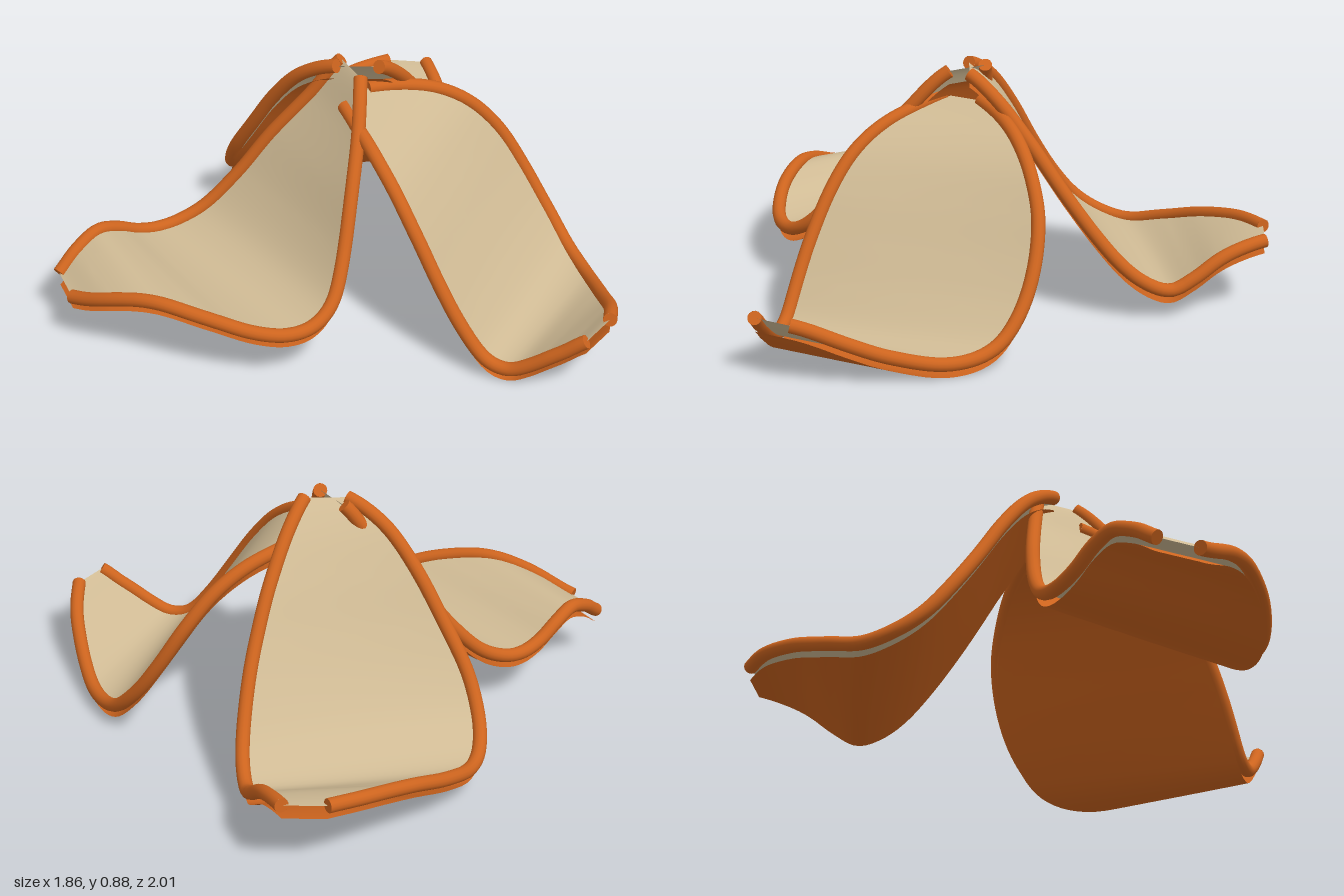
import * as THREE from 'three';
import { ParametricGeometry } from 'three/addons/geometries/ParametricGeometry.js';

const GAP = 0.05;                 // distance between upper and lower sheet
const RADIUS = 0.025;             // rim tube radius
const CENTRE = [-0.187, 0.057];

const curve2 = (pts) => new THREE.SplineCurve(pts.map(([x, y]) => new THREE.Vector2(x, y)));

// Plan outline of a petal (x, z): its two long edges
const edgeA = curve2([[0.01, 0.085], [0.14, 0.165], [0.29, 0.245], [0.44, 0.3],
  [0.61, 0.325], [0.79, 0.305], [0.94, 0.265], [1.08, 0.213]]);
const edgeB = curve2([[0.01, -0.066], [0.1, -0.215], [0.25, -0.4], [0.35, -0.485],
  [0.477, -0.507], [0.62, -0.465], [0.797, -0.335], [1.0, -0.1], [1.09, 0.063]]);

// Turn of each petal and its own heights along the slope, sampled every 0.1
const petals = [
  { angle: 0, heights: [0.745, 0.715, 0.67, 0.59, 0.465, 0.318, 0.18, 0.075, 0.05, 0.09, 0.155, 0.225] },
  { angle: 120, heights: [0.86, 0.775, 0.635, 0.47, 0.325, 0.21, 0.14, 0.113, 0.155, 0.213, 0.25, 0.268] },
  { angle: -120, heights: [0.86, 0.7, 0.545, 0.375, 0.255, 0.2, 0.188, 0.21, 0.255, 0.28, 0.245, 0.18] },
];

// Height rule of a petal; level lines lean sideways in the middle of the slope
function makeSurface(heights) {
  const profile = curve2(heights.map((h, i) => [i / 10, h]));
  return (x, z, target = new THREE.Vector3()) => {
    const lean = -0.18 * Math.max(0, Math.sin(Math.PI * x / 0.95));
    const t = THREE.MathUtils.clamp((x + lean * z) / 1.1, 0, 1);
    return target.set(x, profile.getPoint(t).y, z);
  };
}

// Sheet spanning the two edges; flipping v turns it to face down
function sheet(surface, drop, faceDown) {
  return new ParametricGeometry((u, v, target) => {
    const p = edgeA.getPoint(u).lerp(edgeB.getPoint(u), faceDown ? 1 - v : v);
    surface(p.x, p.y, target);
    target.y -= drop;
  }, 56, 20);
}

// Round rim following one edge, with flat ends
function rim(surface, edge, material) {
  const group = new THREE.Group();
  group.name = 'rim';
  const pts = Array.from({ length: 41 }, (_, i) => {
    const p = edge.getPoint(i / 40);
    return surface(p.x, p.y);
  });
  const path = new THREE.CatmullRomCurve3(pts);
  const tube = new THREE.Mesh(new THREE.TubeGeometry(path, 80, RADIUS, 14), material);
  tube.name = 'rimTube';
  group.add(tube);
  for (const t of [0, 1]) {
    const cap = new THREE.Mesh(new THREE.CircleGeometry(RADIUS, 14), material);
    const dir = path.getTangent(t).multiplyScalar(t ? 1 : -1);
    cap.name = 'rimEnd';
    cap.position.copy(path.getPoint(t));
    cap.quaternion.setFromUnitVectors(new THREE.Vector3(0, 0, 1), dir);
    group.add(cap);
  }
  return group;
}

export function createModel() {
  const tan = new THREE.MeshStandardMaterial({ color: 0xd0bb95, side: THREE.DoubleSide });
  tan.name = 'tan';
  const orange = new THREE.MeshStandardMaterial({ color: 0xcd641e, side: THREE.DoubleSide });
  orange.name = 'burntOrange';

  const model = new THREE.Group();
  model.name = 'petalCanopy';

  // Three petals around the centre
  for (const { angle, heights } of petals) {
    const surface = makeSurface(heights);
    const petal = new THREE.Group();
    petal.name = 'petal';
    const top = new THREE.Mesh(sheet(surface, 0, false), tan);
    top.name = 'upperSheet';
    const under = new THREE.Mesh(sheet(surface, GAP, true), orange);
    under.name = 'lowerSheet';
    petal.add(top, under, rim(surface, edgeA, orange), rim(surface, edgeB, orange));
    petal.position.set(CENTRE[0], 0, CENTRE[1]);
    petal.rotation.y = THREE.MathUtils.degToRad(angle);
    model.add(petal);
  }
  return model;
}
